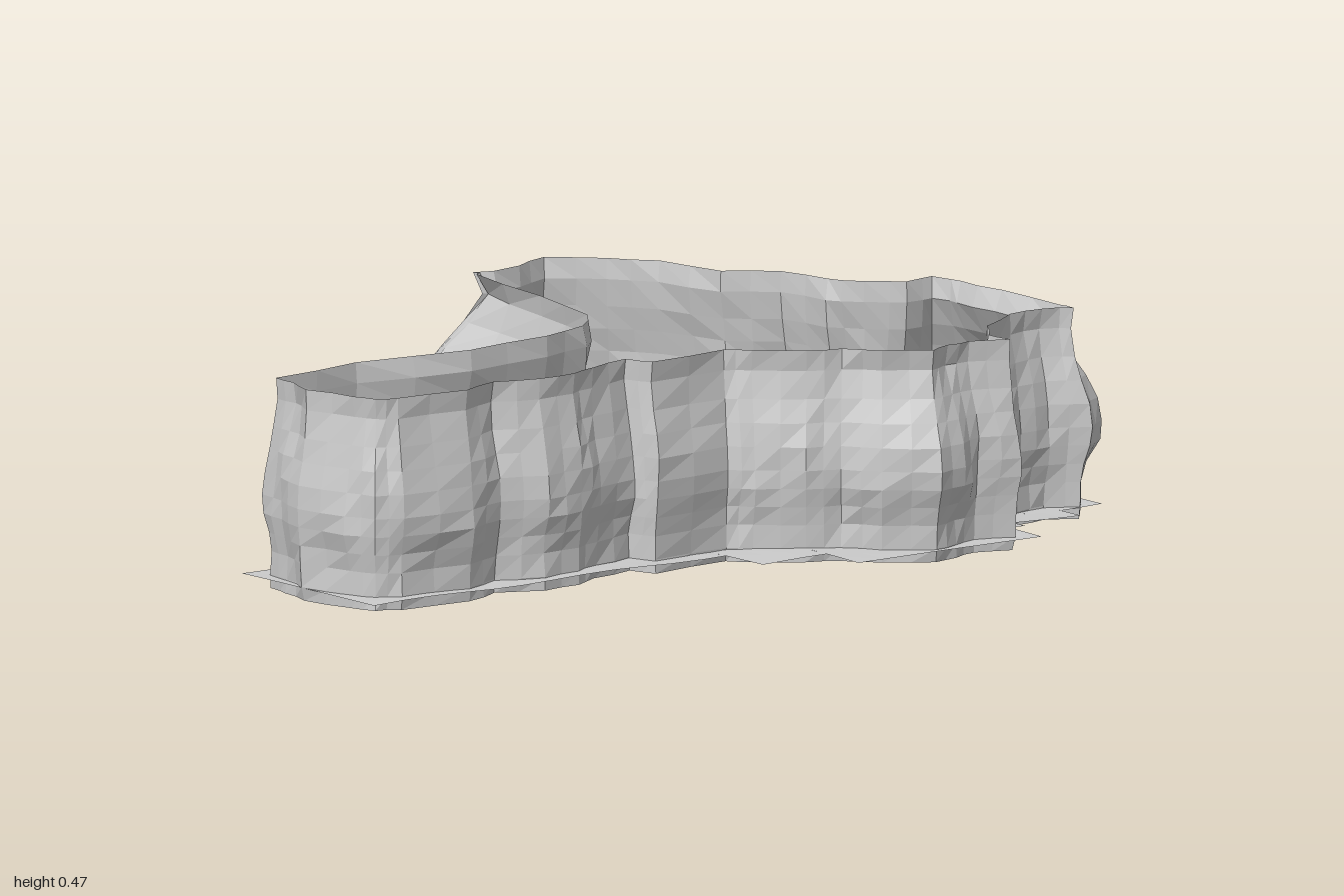
import * as THREE from 'three';

const material = new THREE.MeshStandardMaterial({ color: 0xcccccc, flatShading: true, side: THREE.DoubleSide });

// Cave outline at its widest height: [x, z, how far the top leans inward]
const OUTLINE = [
  [0.04, 0.95], [0.12, 0.97], [0.22, 1.0], [0.35, 0.97], [0.42, 0.94], [0.45, 0.88],
  [0.46, 0.7], [0.42, 0.6], [0.46, 0.5], [0.45, 0.4], [0.42, 0.33], [0.39, 0.22],
  [0.45, 0.2], [0.43, 0.0], [0.47, -0.04], [0.54, -0.12], [0.57, -0.19], [0.65, -0.24, 0.05],
  [0.73, -0.34, 0.06], [0.71, -0.42, 0.06], [0.67, -0.49], [0.7, -0.58], [0.63, -0.58], [0.55, -0.64],
  [0.48, -0.75], [0.47, -0.83], [0.51, -0.91, 0.04], [0.46, -0.98, 0.1], [0.22, -1.0, 0.12], [0.05, -0.98, 0.11],
  [-0.05, -0.91, 0.07], [-0.01, -0.8], [-0.06, -0.74], [-0.12, -0.7], [-0.25, -0.68], [-0.33, -0.58],
  [-0.5, -0.54], [-0.6, -0.47], [-0.7, -0.36], [-0.67, -0.25, 0.05], [-0.73, -0.05, 0.14], [-0.64, 0.01, 0.14],
  [-0.33, -0.01, 0.06], [-0.1, 0.01], [-0.02, 0.08], [0.01, 0.2], [0.04, 0.42], [0.01, 0.7],
];

// Wall profile: [height, share of the inward lean]
const PROFILE = [
  [0.02, 0.55], [0.05, 0.5], [0.1, 0.5], [0.14, 0.3], [0.18, 0.03], [0.22, 0],
  [0.27, 0.1], [0.32, 0.4], [0.37, 0.75], [0.43, 1.05], [0.475, 0.9],
];

// Floor rows with stepped ends: [x0, x1, z0, z1]
const FLOOR = [
  [-0.05, 0.49, -0.95, -0.84], [-0.11, 0.56, -0.84, -0.75], [-0.15, 0.56, -0.75, -0.72],
  [-0.3, 0.56, -0.72, -0.66], [-0.42, 0.6, -0.66, -0.62], [-0.42, 0.71, -0.62, -0.6],
  [-0.53, 0.71, -0.6, -0.53], [-0.6, 0.71, -0.53, -0.49], [-0.7, 0.71, -0.49, -0.13],
  [-0.7, 0.6, -0.13, -0.02], [-0.31, 0.6, -0.02, 0.04], [-0.15, 0.47, 0.04, 0.1],
  [0.01, 0.47, 0.1, 0.98],
];

// Even, repeatable roughness in -1..1
const rough = (i, j) => Math.sin(i * 2.3 + j * 0.9) * 0.6 + Math.sin(i * 5.1 - j * 1.7) * 0.4;

// Splits each outline edge in two and finds the inward direction
function wallRing() {
  const n = OUTLINE.length;
  const at = (i) => OUTLINE[(i + n) % n];
  const points = [];
  for (let i = 0; i < n; i++) {
    const [ax, az, al = 0.03] = at(i);
    const [bx, bz, bl = 0.03] = at(i + 1);
    points.push({ x: ax, z: az, lean: al }, { x: (ax + bx) / 2, z: (az + bz) / 2, lean: (al + bl) / 2 });
  }
  const m = points.length;
  points.forEach((p, i) => {
    const a = points[(i + m - 3) % m], b = points[(i + 3) % m];
    const length = Math.hypot(b.x - a.x, b.z - a.z);
    p.nx = (b.z - a.z) / length;
    p.nz = -(b.x - a.x) / length;
  });
  return points;
}

function rockWall() {
  const ring = wallRing();
  const n = ring.length;
  const positions = [], index = [];
  PROFILE.forEach(([y, share], j) => {
    ring.forEach((p, i) => {
      const offset = p.lean * share + 0.006 * (1 + rough(i, j));
      positions.push(p.x + p.nx * offset, y, p.z + p.nz * offset);
      if (j === 0) return;
      const next = (i + 1) % n;
      const a = (j - 1) * n + i, b = (j - 1) * n + next, c = j * n + next, d = j * n + i;
      index.push(a, b, c, a, c, d);
    });
  });
  const geometry = new THREE.BufferGeometry();
  geometry.setAttribute('position', new THREE.Float32BufferAttribute(positions, 3));
  geometry.setIndex(index);
  geometry.computeVertexNormals();
  const mesh = new THREE.Mesh(geometry, material);
  mesh.name = 'rockWall';
  return mesh;
}

// Gently uneven ground with a shallow hollow in the chamber
function groundHeight(x, z) {
  const hollow = Math.exp(-(((x - 0.2) / 0.14) ** 2) - ((z + 0.2) / 0.22) ** 2);
  return 0.048 - 0.046 * hollow + 0.003 * Math.sin(x * 9) * Math.sin(z * 13);
}

function floor() {
  const group = new THREE.Group();
  group.name = 'floor';
  for (const [x0, x1, z0, z1] of FLOOR) {
    const w = x1 - x0, d = z1 - z0;
    const geometry = new THREE.PlaneGeometry(w, d, Math.ceil(w / 0.08), Math.ceil(d / 0.08));
    geometry.rotateX(-Math.PI / 2);
    geometry.translate((x0 + x1) / 2, 0, (z0 + z1) / 2);
    const p = geometry.attributes.position;
    for (let i = 0; i < p.count; i++) p.setY(i, groundHeight(p.getX(i), p.getZ(i)));
    geometry.computeVertexNormals();
    const strip = new THREE.Mesh(geometry, material);
    strip.name = 'floorStrip';
    group.add(strip);
  }
  return group;
}

export function createModel() {
  const model = new THREE.Group();
  model.name = 'caveRoom';
  model.add(rockWall(), floor());
  return model;
}
